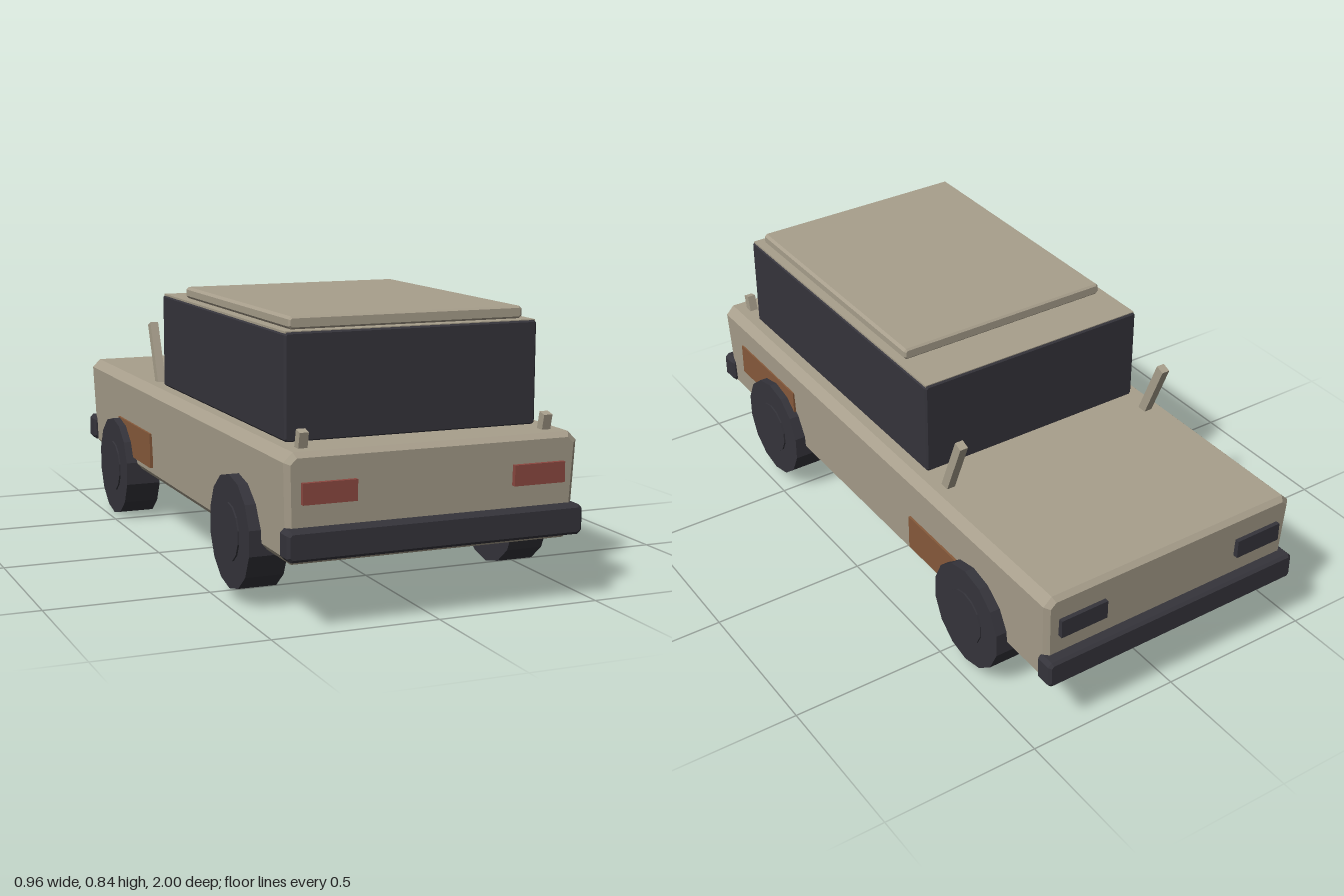
import * as THREE from 'three';

const mat = (name, color) => Object.assign(new THREE.MeshStandardMaterial({ color }), { name });

export function createModel() {
  const tan = mat('tan paint', 0xa89f8c);
  const dark = mat('charcoal', 0x35343b);
  const red = mat('red lamp', 0x8c4840);
  const brown = mat('rust brown', 0x875a3b);
  const model = new THREE.Group();
  model.name = 'car';

  const add = (name, geometry, material, x = 0, y = 0, z = 0, parent = model) => {
    const mesh = new THREE.Mesh(geometry, material);
    mesh.name = name;
    mesh.position.set(x, y, z);
    parent.add(mesh);
    return mesh;
  };
  const box = (w, h, d) => new THREE.BoxGeometry(w, h, d);

  // Prism along z with chamfered ends, centred in z
  const prism = (points, depth, bevel) => {
    const shape = new THREE.Shape(points.map(([x, y]) => new THREE.Vector2(x, y)));
    const g = new THREE.ExtrudeGeometry(shape, {
      depth: depth - 2 * bevel, bevelEnabled: true, bevelSegments: 1,
      bevelSize: bevel, bevelThickness: bevel, bevelOffset: -bevel,
    });
    return g.translate(0, 0, -depth / 2 + bevel);
  };
  // Box with all edges chamfered, standing on y = 0
  const chamferBox = (w, h, d, c) => {
    const a = w / 2;
    return prism([[-a + c, 0], [a - c, 0], [a, c], [a, h - c], [a - c, h], [-a + c, h], [-a, h - c], [-a, c]], d, c * 0.7);
  };
  const flat = (g) => {
    const f = g.toNonIndexed();
    f.computeVertexNormals();
    return f;
  };

  // Body shell, slightly narrower and shorter towards the sill
  const body = prism([[-0.42, 0.18], [0.42, 0.18], [0.437, 0.2], [0.447, 0.465], [0.42, 0.492],
    [-0.42, 0.492], [-0.447, 0.465], [-0.437, 0.2]], 1.94, 0.015);
  const p = body.attributes.position;
  for (let i = 0; i < p.count; i++) p.setZ(i, p.getZ(i) * (0.985 + 0.015 * (p.getY(i) - 0.18) / 0.31));
  body.computeVertexNormals();
  add('body', body, tan);

  // Cabin with painted top and raised roof panel
  add('cabin', chamferBox(0.78, 0.305, 1.09, 0.008), dark, 0, 0.49, 0.275);
  add('cabinTop', box(0.772, 0.006, 1.08), tan, 0, 0.794, 0.275);
  add('roofPanel', chamferBox(0.725, 0.036, 0.895, 0.008), tan, 0, 0.797, 0.335);

  // Bumpers and lamps at both ends
  for (const s of [1, -1]) {
    add(s > 0 ? 'frontBumper' : 'rearBumper', chamferBox(0.904, 0.087, 0.064, 0.012), dark, 0, 0.198, s * 0.966);
    for (const x of [-0.32, 0.32]) {
      add(s > 0 ? 'frontLamp' : 'rearLamp', box(0.16, 0.06, 0.024), s > 0 ? red : dark, x, 0.38, s * 0.968);
    }
  }

  // Leaning posts beside the cabin and on the nose
  const post = (name, x, y0, z0, y1, z1, t) => {
    const m = add(name, box(0.027, Math.hypot(y1 - y0, z1 - z0), t), tan, x, (y0 + y1) / 2, (z0 + z1) / 2);
    m.rotation.x = Math.atan2(z1 - z0, y1 - y0);
  };
  for (const x of [-0.374, 0.374]) {
    post('rearPost', x, 0.475, -0.355, 0.68, -0.437, 0.03);
    post('frontPost', x, 0.475, 0.895, 0.54, 0.911, 0.028);
  }

  // Rust patches on the flanks
  add('frontLeftPatch', box(0.01, 0.105, 0.37), brown, 0.444, 0.338, 0.665);
  for (const x of [-0.444, 0.444]) add('rearPatch', box(0.01, 0.115, 0.37), brown, x, 0.278, -0.435);

  // Wheels with hub discs; one rear wheel has dropped
  const tire = flat(new THREE.CylinderGeometry(0.168, 0.168, 0.116, 14).rotateZ(Math.PI / 2));
  const hub = flat(new THREE.CylinderGeometry(0.087, 0.087, 0.126, 14).rotateZ(Math.PI / 2));
  for (const x of [-0.416, 0.416]) {
    for (const z of [-0.603, 0.598]) {
      const wheel = new THREE.Group();
      wheel.name = (z > 0 ? 'front' : 'rear') + (x > 0 ? 'Left' : 'Right') + 'Wheel';
      wheel.position.set(x, x < 0 && z < 0 ? 0.165 : 0.2, z);
      for (const [name, g] of [['tire', tire], ['hub', hub]]) {
        add(name, g, dark, 0, 0, 0, wheel).rotation.x = Math.PI / 14;
      }
      model.add(wheel);
    }
  }
  return model;
}
